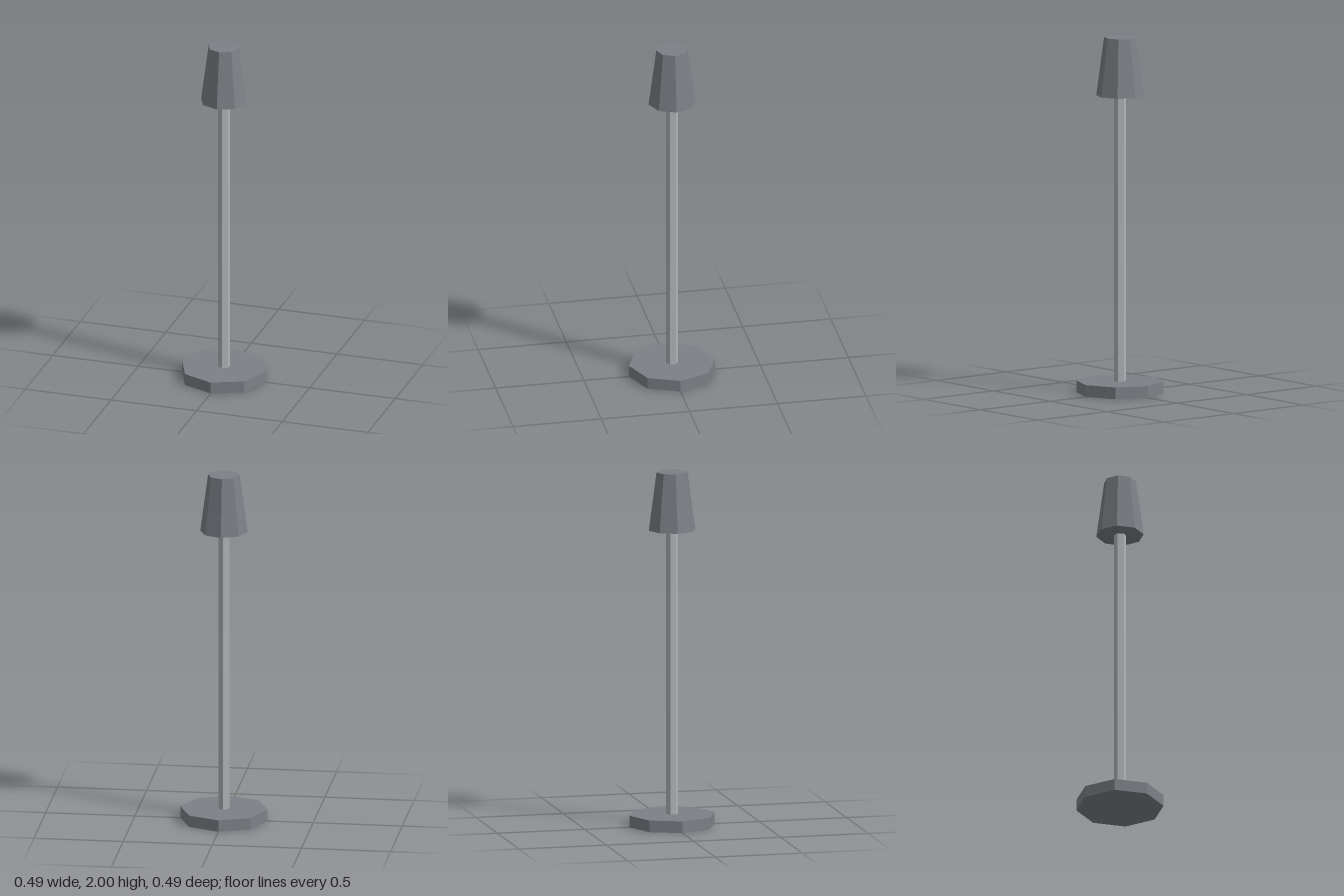
import * as THREE from 'three';

export function createModel() {
  const group = new THREE.Group();
  group.name = 'floorLamp';

  const darkGrey = new THREE.MeshStandardMaterial({ color: 0x7d8187, flatShading: true });
  darkGrey.name = 'darkGrey';
  const lightGrey = new THREE.MeshStandardMaterial({ color: 0xb2b6b9, flatShading: true });
  lightGrey.name = 'lightGrey';

  // Faceted, capped cylinder spanning bottom..top
  function addPart(name, rTop, rBottom, bottom, top, sides, material) {
    const geometry = new THREE.CylinderGeometry(rTop, rBottom, top - bottom, sides);
    const mesh = new THREE.Mesh(geometry, material);
    mesh.name = name;
    mesh.position.y = (bottom + top) / 2;
    group.add(mesh);
  }

  addPart('base', 0.244, 0.244, 0, 0.066, 8, darkGrey);
  addPart('pole', 0.034, 0.034, 0.066, 1.672, 6, lightGrey);
  addPart('lampShade', 0.089, 0.133, 1.672, 2, 8, darkGrey);

  return group;
}
